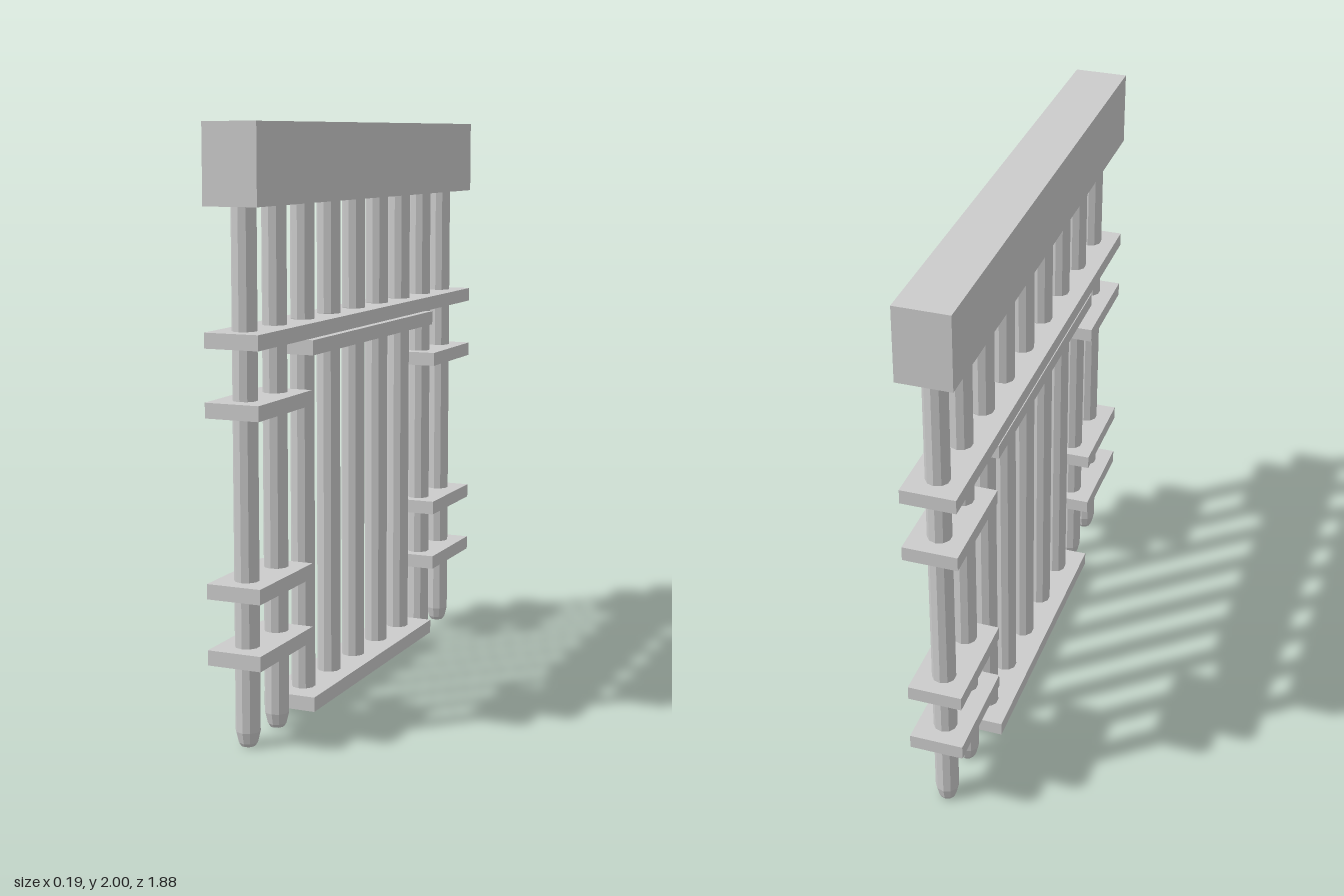
import * as THREE from 'three';

const material = new THREE.MeshStandardMaterial({ color: 0xcccccc, flatShading: true });
const HALF_WIDTH = 0.094;
const BAR_RADIUS = 0.041;
const SPACING = 0.2115;

// Flat board given by its height range and its range along z
function board(name, y0, y1, z0, z1) {
  const mesh = new THREE.Mesh(new THREE.BoxGeometry(HALF_WIDTH * 2, y1 - y0, z1 - z0), material);
  mesh.position.set(0, (y0 + y1) / 2, (z0 + z1) / 2);
  mesh.name = name;
  return mesh;
}

// Round bar with a blunt, tapered foot
function bar(name, y0, y1, z) {
  const r = BAR_RADIUS;
  const profile = [
    [0, y0], [r * 0.6, y0], [r * 0.78, y0 + 0.012], [r, y0 + 0.05],
    [r, y1 - 0.02], [r * 0.85, y1], [0, y1],
  ].map(([x, y]) => new THREE.Vector2(x, y));
  const mesh = new THREE.Mesh(new THREE.LatheGeometry(profile, 10), material);
  mesh.position.z = z;
  mesh.name = name;
  return mesh;
}

export function createModel() {
  const model = new THREE.Group();
  model.name = 'barredGate';

  // Fixed frame: heavy top beam and the long rail under it
  const frame = new THREE.Group();
  frame.name = 'frame';
  frame.add(board('topBeam', 1.74, 2, -0.94, 0.94));
  frame.add(board('longRail', 1.3, 1.35, -0.94, 0.94));
  for (let i = -2; i <= 2; i++) frame.add(bar('upperBar', 1.302, 1.76, i * SPACING));
  model.add(frame);

  // Side panels: two long bars tied by three short rails
  for (const side of [-1, 1]) {
    const panel = new THREE.Group();
    panel.name = side > 0 ? 'frontSidePanel' : 'backSidePanel';
    for (const i of [3, 4]) panel.add(bar('longBar', 0, 1.76, side * i * SPACING));
    for (const y of [0.281, 0.498, 1.08]) {
      const ends = [side * 0.552, side * 0.94].sort((a, b) => a - b);
      panel.add(board('shortRail', y, y + 0.05, ...ends));
    }
    model.add(panel);
  }

  // Door in the middle: five bars between two rails
  const door = new THREE.Group();
  door.name = 'door';
  door.add(board('doorTopRail', 1.243, 1.293, -0.537, 0.537));
  door.add(board('doorBottomRail', 0.031, 0.081, -0.537, 0.537));
  for (let i = -2; i <= 2; i++) door.add(bar('doorBar', 0.01, 1.285, i * SPACING));
  door.position.z = 0.004;
  model.add(door);

  return model;
}
